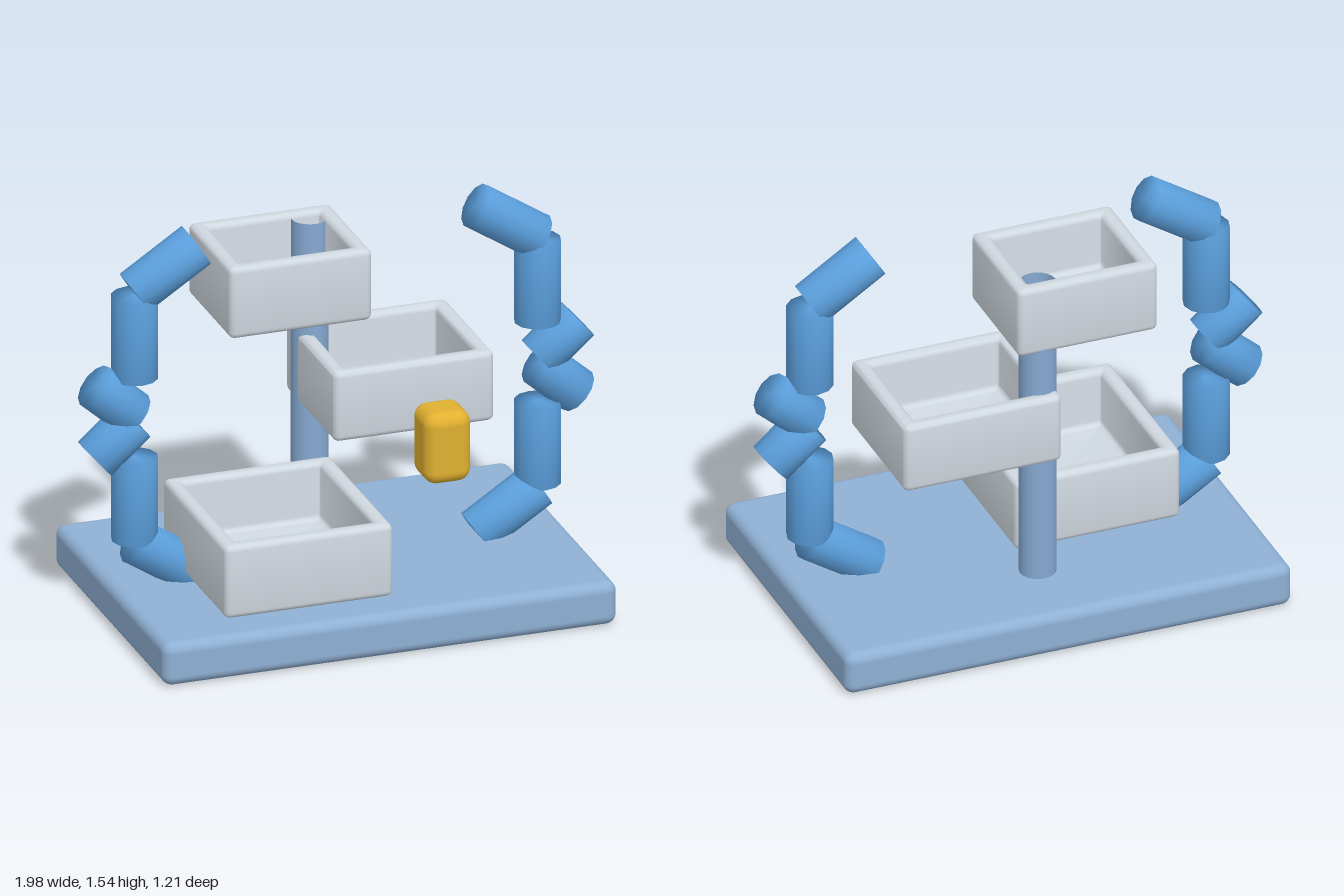
import * as THREE from 'three';
import { RoundedBoxGeometry } from 'three/addons/geometries/RoundedBoxGeometry.js';
import { mergeVertices, toCreasedNormals } from 'three/addons/utils/BufferGeometryUtils.js';

const mat = (color, side = THREE.FrontSide) => new THREE.MeshStandardMaterial({ color, side });

function add(parent, name, geometry, material, x = 0, y = 0, z = 0) {
  const mesh = new THREE.Mesh(geometry, material);
  mesh.name = name;
  mesh.position.set(x, y, z);
  parent.add(mesh);
  return mesh;
}

// Open tray: rounded rectangles stacked from the underside, over the rim, down to the inner floor
function trayGeometry(w, h, d) {
  const r = 0.022, wall = 0.06, per = 5, n = per * 4;
  const profile = []; // [inset, height]
  const arc = (cx, cy, rad, from, to) => {
    for (let i = 0; i <= 4; i++) {
      const a = (from + (to - from) * i / 4) * Math.PI / 180;
      profile.push([cx - rad * Math.cos(a), cy + rad * Math.sin(a)]);
    }
  };
  arc(r, r, r, -90, 0);
  arc(r, h - r, r, 0, 90);
  arc(wall - r, h - r, r, 90, 180);
  arc(wall + r, wall + r, r, 0, -90);

  const pos = [], idx = [];
  for (const [inset, y] of profile) {
    const hw = w / 2 - inset, hd = d / 2 - inset;
    const cr = inset < r ? Math.max(r * 1.1 - inset, 0.003) : 0.012;
    for (let j = 0; j < n; j++) {
      const q = Math.floor(j / per);
      const a = (q + (j % per) / (per - 1)) * Math.PI / 2;
      const sx = q === 0 || q === 3 ? 1 : -1, sz = q < 2 ? 1 : -1;
      pos.push(sx * (hw - cr) + cr * Math.cos(a), y, sz * (hd - cr) + cr * Math.sin(a));
    }
  }
  for (let i = 0; i < profile.length - 1; i++) {
    for (let j = 0; j < n; j++) {
      const a = i * n + j, b = i * n + (j + 1) % n, c = a + n, e = b + n;
      idx.push(a, c, b, b, c, e);
    }
  }
  // Underside and inner floor
  const last = (profile.length - 1) * n, under = profile.length * n;
  pos.push(0, 0, 0, 0, wall, 0);
  for (let j = 0; j < n; j++) {
    const k = (j + 1) % n;
    idx.push(under, j, k, under + 1, last + k, last + j);
  }
  const g = new THREE.BufferGeometry();
  g.setAttribute('position', new THREE.Float32BufferAttribute(pos, 3));
  g.setIndex(idx);
  return toCreasedNormals(g, 0.7);
}

// Twelve-sided cylinder whose shading flows softly over the flat ends
function segmentGeometry(radius, length) {
  const g = new THREE.CylinderGeometry(radius, radius, length, 12);
  g.deleteAttribute('uv');
  g.deleteAttribute('normal');
  const soft = mergeVertices(g);
  soft.computeVertexNormals();
  return soft;
}

export function createModel() {
  const model = new THREE.Group();
  model.name = 'trayStand';
  const blue = mat(0x5b9fdc);
  const grey = mat(0xd0d8e0);

  add(model, 'base', new RoundedBoxGeometry(1.755, 0.17, 1.21, 4, 0.04), mat(0x8fb0d4), 0, 0.087, 0);

  // Hollow post behind the trays
  add(model, 'post', new THREE.CylinderGeometry(0.069, 0.069, 1.25, 20, 1, true),
    mat(0x86a9d2, THREE.DoubleSide), -0.003, 0.765, -0.28);

  // Trays: x range, y range, z range
  const trays = [
    ['lowerTray', -0.61, 0.04, 0.2, 0.485, -0.175, 0.515],
    ['middleTray', -0.06, 0.56, 0.675, 0.95, -0.382, 0.152],
    ['upperTray', -0.45, 0.1, 1.125, 1.405, -0.35, 0.117],
  ];
  for (const [name, x0, x1, y0, y1, z0, z1] of trays) {
    add(model, name, trayGeometry(x1 - x0, y1 - y0, z1 - z0), grey, (x0 + x1) / 2, y0, (z0 + z1) / 2);
  }

  add(model, 'yellowBlock', new RoundedBoxGeometry(0.18, 0.28, 0.18, 5, 0.05), mat(0xe0b030), 0.32, 0.67, 0.255);

  // Two bracket-shaped arms, each half a mirror of the other about mid height
  const midY = 0.823;
  const segments = [ // name, x, height above middle, length, tilt
    ['Tip', 0.66, 0.57, 0.285, 0.995],
    ['Straight', 0.779, 0.32, 0.325, 0],
    ['Elbow', 0.858, 0.078, 0.2, -0.85],
  ];
  for (const side of [1, -1]) {
    const arm = new THREE.Group();
    arm.name = side > 0 ? 'leftArm' : 'rightArm';
    for (const up of [1, -1]) {
      for (const [name, x, dy, length, tilt] of segments) {
        const seg = add(arm, (up > 0 ? 'upper' : 'lower') + name, segmentGeometry(0.087, length), blue,
          side * x, midY + up * dy, 0);
        seg.rotation.z = side * up * tilt;
      }
    }
    model.add(arm);
  }
  return model;
}
